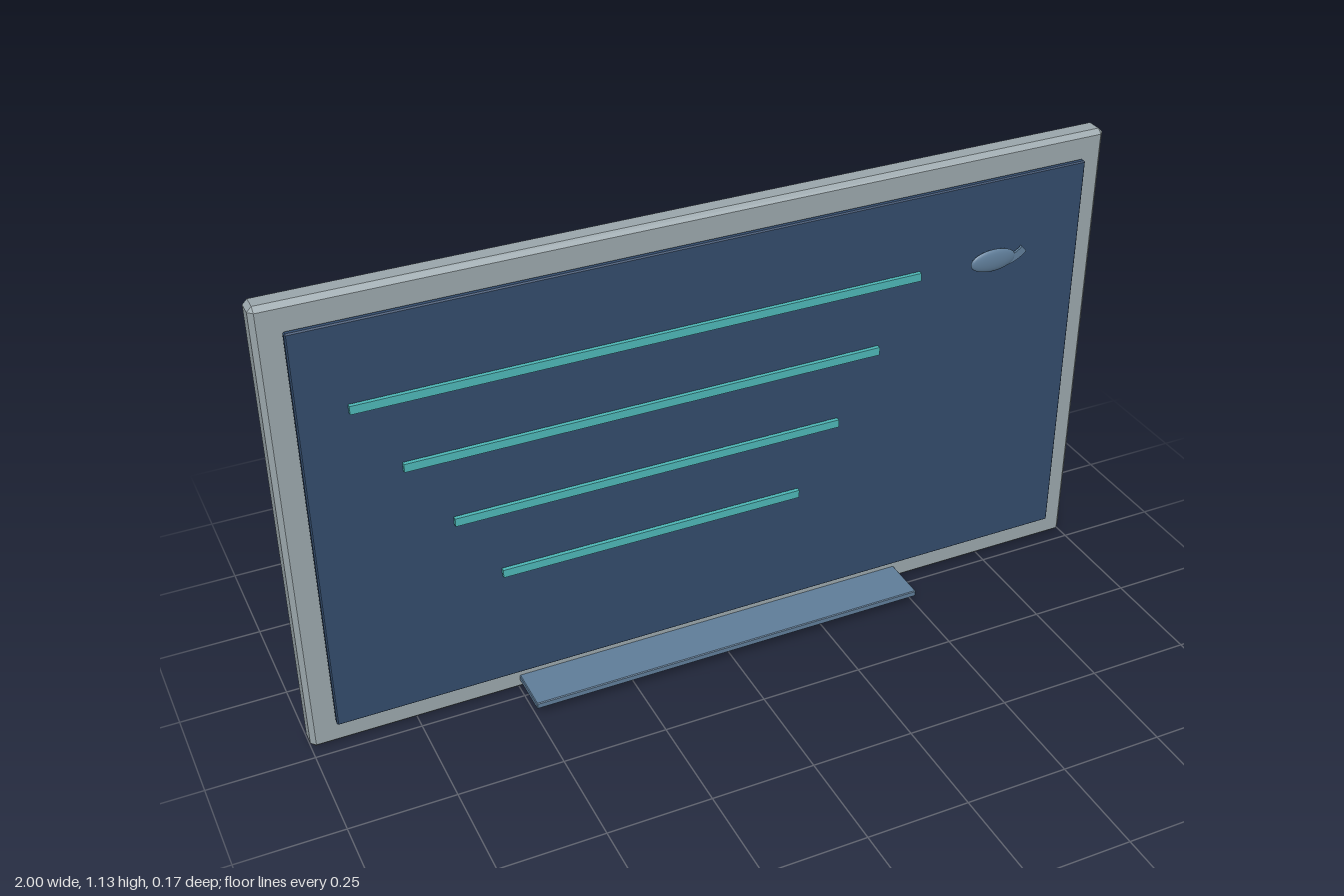
import * as THREE from 'three';
import { ConvexGeometry } from 'three/addons/geometries/ConvexGeometry.js';

const material = (color) => new THREE.MeshStandardMaterial({ color });

// Box with every edge and corner cut by c
function chamferedBox(w, h, d, c) {
  const pts = [];
  for (const x of [-1, 1]) for (const y of [-1, 1]) for (const z of [-1, 1]) {
    for (let axis = 0; axis < 3; axis++) {
      pts.push(new THREE.Vector3(
        x * (w / 2 - (axis === 0 ? 0 : c)),
        y * (h / 2 - (axis === 1 ? 0 : c)),
        z * (d / 2 - (axis === 2 ? 0 : c))
      ));
    }
  }
  return new ConvexGeometry(pts);
}

export function createModel() {
  const model = new THREE.Group();
  model.name = 'wallBoard';

  const add = (name, geometry, mat, x, y, z, parent = model) => {
    const mesh = new THREE.Mesh(geometry, mat);
    mesh.name = name;
    mesh.position.set(x, y, z);
    parent.add(mesh);
    return mesh;
  };

  const frameMat = material(0x9aa6ab);
  const panelMat = material(0x324b6b);
  const lineMat = material(0x4db6b6);
  const trayMat = material(0x5f7d99);

  // Backing frame, writing panel and tray
  add('frame', chamferedBox(2, 1.135, 0.057, 0.011), frameMat, 0, 0.5675, -0.0565);
  add('panel', chamferedBox(1.88, 1.01, 0.015, 0.003), panelMat, 0, 0.57, -0.0155);
  add('tray', chamferedBox(1, 0.016, 0.115, 0.002), trayMat, 0, 0.033, 0.0285);

  // Raised text lines, each shorter than the one above
  for (let i = 0; i < 4; i++) {
    add('line' + (i + 1), new THREE.BoxGeometry(1.34 - i * 0.2, 0.02, 0.01), lineMat,
      -0.161, 0.877 - i * 0.17, 0);
  }

  // Small leaf-like emblem: flattened oval body with an upturned tail
  const emblem = new THREE.Group();
  emblem.name = 'emblem';
  emblem.position.set(0.7, 0.877, 0.004);
  model.add(emblem);
  const body = add('emblemBody', new THREE.SphereGeometry(1, 24, 16), trayMat, 0, 0, 0, emblem);
  body.scale.set(0.06, 0.028, 0.009);

  const tail = new THREE.Shape();
  tail.moveTo(0.02, -0.022);
  tail.quadraticCurveTo(0.065, -0.018, 0.088, 0.007);
  tail.lineTo(0.075, 0.021);
  tail.quadraticCurveTo(0.062, 0.007, 0.04, 0.004);
  tail.closePath();
  add('emblemTail', new THREE.ExtrudeGeometry(tail, { depth: 0.006, bevelEnabled: false, curveSegments: 8 }),
    trayMat, 0, 0, -0.003, emblem);

  return model;
}
